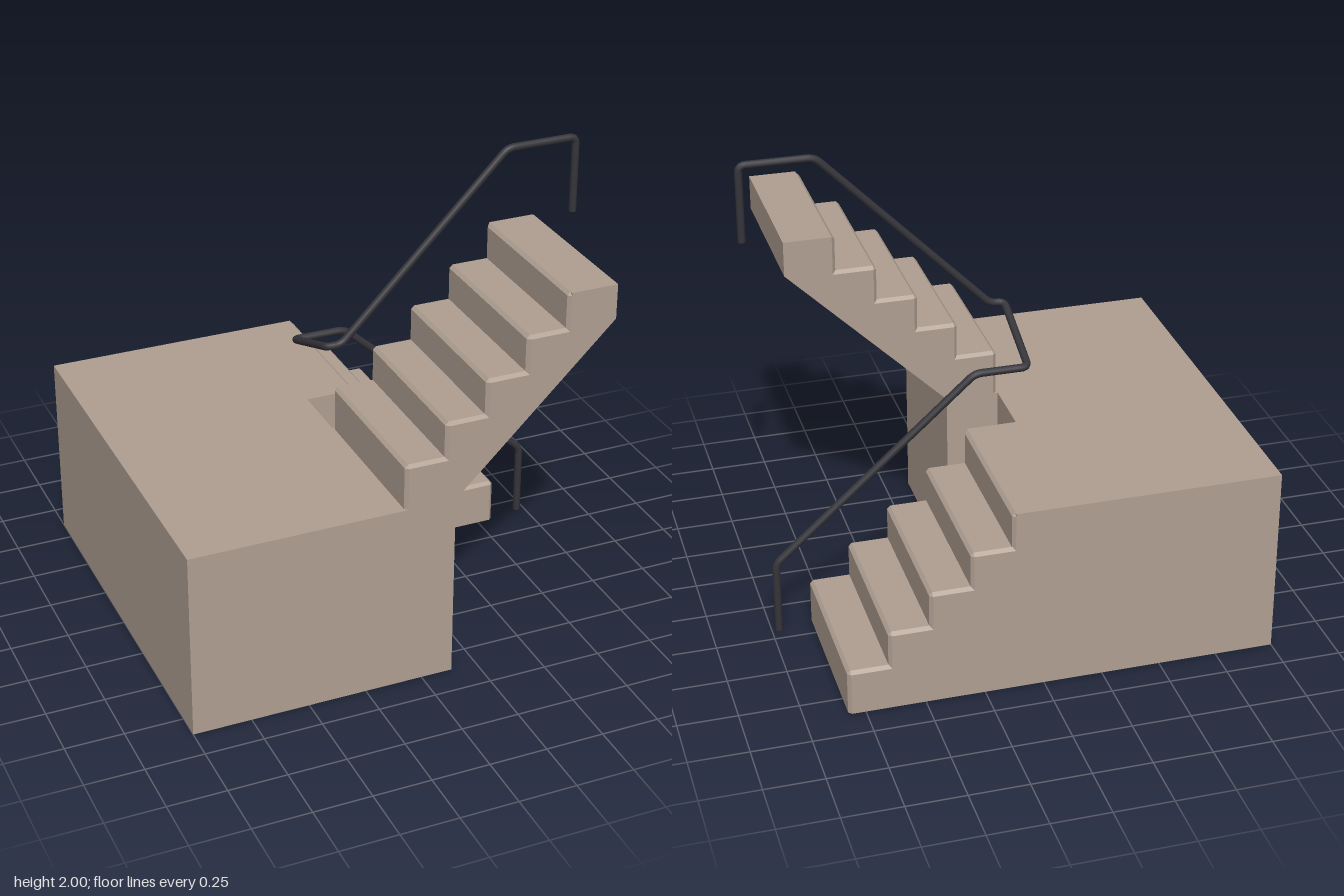
import * as THREE from 'three';

const BEVEL = 0.014, FLOOR = 0.822, RUN = 0.172, RISE = 0.1555;
const INNER = 0.137, OUTER = 0.863; // z range of each flight

// Loft a stair profile across z; each point is [x, y, bevelled x, bevelled y].
function flightGeometry(profile, z0, z1) {
  let pts = profile;
  if (THREE.ShapeUtils.isClockWise(pts.map(p => new THREE.Vector2(p[0], p[1])))) pts = [...pts].reverse();
  const n = pts.length, pos = [], idx = [];
  const rings = [[z0, 2], [z0 + BEVEL, 0], [z1 - BEVEL, 0], [z1, 2]];
  for (const [z, k] of rings) for (const p of pts) pos.push(p[k], p[k + 1], z);
  for (let r = 0; r < 3; r++) {
    for (let i = 0; i < n; i++) {
      const a = r * n + i, b = r * n + (i + 1) % n;
      idx.push(a, b, b + n, a, b + n, a + n);
    }
  }
  const cap = pts.map(p => new THREE.Vector2(p[2], p[3]));
  for (const [a, b, c] of THREE.ShapeUtils.triangulateShape(cap, [])) {
    idx.push(c, b, a, a + 3 * n, b + 3 * n, c + 3 * n);
  }
  const indexed = new THREE.BufferGeometry();
  indexed.setAttribute('position', new THREE.Float32BufferAttribute(pos, 3));
  indexed.setIndex(idx);
  const geo = indexed.toNonIndexed();
  geo.computeVertexNormals();
  return geo;
}

// Solid flight descending from the landing to the ground.
function lowerProfile() {
  const c = BEVEL, p = [[INNER - c, 0, INNER - c, 0]];
  for (let i = 0; i < 5; i++) {
    const x = INNER + i * 0.171, y = FLOOR - i * RISE;
    const below = i === 4 ? 0 : y - RISE;
    p.push([x - c, y, x - c, i === 0 ? y : y - c]);
    p.push([x, y - c, x - c, y - c]);
    p.push([x, below, x - c, i === 4 ? 0 : below - c]);
  }
  return p;
}

// Flight rising from the landing, with a sloping underside.
function upperProfile() {
  const c = BEVEL, p = [];
  const top = FLOOR + 0.2 + 4 * RISE;
  for (let i = 0; i < 5; i++) {
    const x = -0.084 + i * RUN, y = FLOOR + 0.2 + i * RISE;
    const below = i === 0 ? FLOOR : y - RISE;
    p.push([x, below, x + c, i === 0 ? below : below - c]);
    p.push([x, y - c, x + c, y - c]);
    p.push([x + c, y, x + c, i === 4 ? y : y - c]);
  }
  for (const [x, y] of [[0.821, top], [0.821, 1.493], [INNER, FLOOR]]) p.push([x, y, x, y]);
  return p;
}

// Path of straight runs joined by rounded bends.
function roundedPath(points, radius) {
  const v = points.map(p => new THREE.Vector3(...p));
  const path = new THREE.CurvePath();
  let from = v[0];
  for (let i = 1; i < v.length - 1; i++) {
    const toward = (q) => v[i].clone().add(q.clone().sub(v[i]).setLength(radius));
    const a = toward(v[i - 1]), b = toward(v[i + 1]);
    path.add(new THREE.LineCurve3(from, a));
    path.add(new THREE.QuadraticBezierCurve3(a, v[i], b));
    from = b;
  }
  path.add(new THREE.LineCurve3(from, v[v.length - 1]));
  return path;
}

export function createModel() {
  const model = new THREE.Group();
  const stone = new THREE.MeshStandardMaterial({ color: 0xb09f92 });
  const metal = new THREE.MeshStandardMaterial({ color: 0x34343a });
  const add = (name, geo, mat) => {
    const mesh = new THREE.Mesh(geo, mat);
    mesh.name = name;
    model.add(mesh);
    return mesh;
  };

  // Landing block, notched between the two flights
  const plan = [
    [-1, -OUTER], [INNER, -OUTER], [INNER, -INNER], [-0.09, -INNER],
    [-0.09, INNER], [INNER - BEVEL, INNER], [INNER - BEVEL, OUTER], [-1, OUTER],
  ].map(p => new THREE.Vector2(...p));
  const landing = new THREE.ExtrudeGeometry(new THREE.Shape(plan), { depth: FLOOR, bevelEnabled: false });
  landing.rotateX(-Math.PI / 2);
  add('landing', landing, stone);

  // Two flights
  add('lowerFlight', flightGeometry(lowerProfile(), -OUTER, -INNER), stone);
  add('upperFlight', flightGeometry(upperProfile(), INNER, OUTER), stone);

  // Continuous handrail, turning round the notch
  const rail = roundedPath([
    [0.968, 0, -0.18], [0.968, 0.325, -0.18], [0.1, 1.1, -0.18], [-0.13, 1.1, -0.18],
    [-0.13, 1.235, 0.18], [-0.068, 1.235, 0.18], [0.67, 1.983, 0.18],
    [0.982, 1.983, 0.18], [0.982, 1.65, 0.18],
  ], 0.03);
  const R = 0.0165;
  add('handrail', new THREE.TubeGeometry(rail, 300, R, 12), metal);

  // Rail end caps
  for (const [x, y, z] of [[0.968, 0, -0.18], [0.982, 1.65, 0.18]]) {
    const cap = add('handrailEnd', new THREE.CircleGeometry(R, 12), metal);
    cap.rotation.x = Math.PI / 2;
    cap.position.set(x, y, z);
  }
  return model;
}
